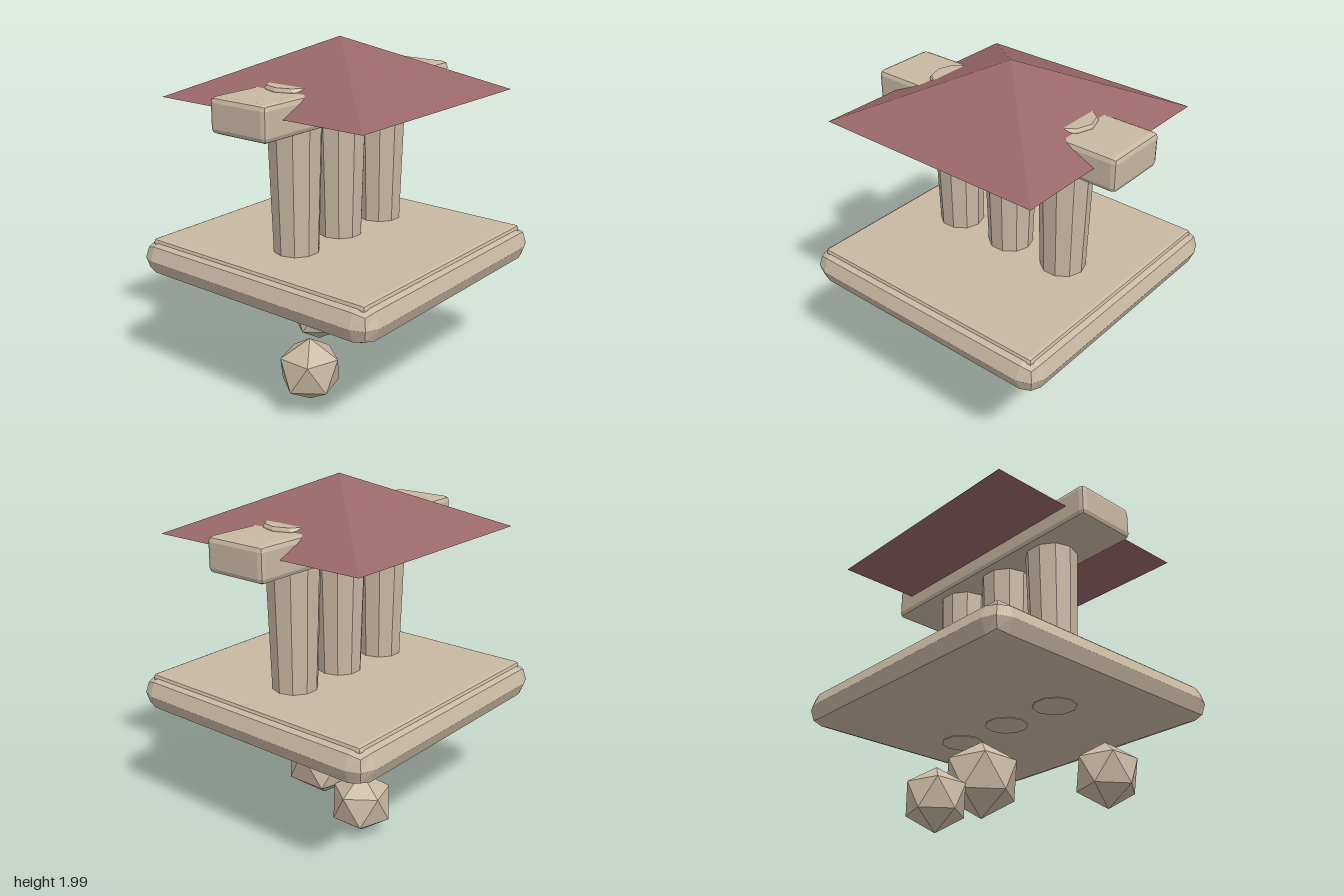
import * as THREE from 'three';
import { RoundedBoxGeometry } from 'three/addons/geometries/RoundedBoxGeometry.js';

const stone = new THREE.MeshStandardMaterial({ color: 0xc8b8a2 });
stone.name = 'pale stone';
const tile = new THREE.MeshStandardMaterial({ color: 0x996767 });
tile.name = 'dull red roof';

// Give every face its own normal for a faceted look
function faceted(geometry) {
  const flat = geometry.index ? geometry.toNonIndexed() : geometry;
  flat.computeVertexNormals();
  return flat;
}

export function createModel() {
  const model = new THREE.Group();
  model.name = 'floatingShrine';

  const add = (name, geometry, material, x, y, z) => {
    const mesh = new THREE.Mesh(faceted(geometry), material);
    mesh.name = name;
    mesh.position.set(x, y, z);
    model.add(mesh);
    return mesh;
  };

  // Chamfered block between two heights
  const block = (name, w, d, y0, y1, radius) =>
    add(name, new RoundedBoxGeometry(w, y1 - y0, d, 1, radius), stone, 0, (y0 + y1) / 2, 0);

  // Platform with a slightly raised floor
  block('platform', 1.64, 1.64, 0.65, 0.866, 0.107);
  block('floor', 1.515, 1.515, 0.78, 0.87, 0.02);

  // Ten-sided columns, wider at the top, running through platform and beam
  const columnProfile = [
    [0, 0.646], [0.122, 0.646], [0.157, 1.782], [0.147, 1.797], [0, 1.797],
  ].map(([r, y]) => new THREE.Vector2(r, y));
  for (const x of [-0.38, 0, 0.38]) {
    const geometry = new THREE.LatheGeometry(columnProfile, 10).rotateY(Math.PI / 2);
    add('column', geometry, stone, x, 0, 0);
  }

  // Lintel beam across the columns
  block('beam', 1.63, 0.385, 1.58, 1.775, 0.03);

  // Closed four-sided roof
  const roof = new THREE.ConeGeometry(0.687 * Math.SQRT2, 0.315, 4).rotateY(Math.PI / 4);
  add('roof', roof, tile, 0, 1.8425, 0);

  // Floating rocks, each standing on a corner
  const tilt = -Math.atan(2 / (1 + Math.sqrt(5)));
  for (const [r, x, y, z] of [
    [0.183, -0.535, 0.273, 0.22],
    [0.225, 0.173, 0.365, -0.03],
    [0.183, 0.2, 0.192, -0.33],
  ]) {
    add('rock', new THREE.IcosahedronGeometry(r, 0).rotateZ(tilt), stone, x, y, z);
  }

  return model;
}
